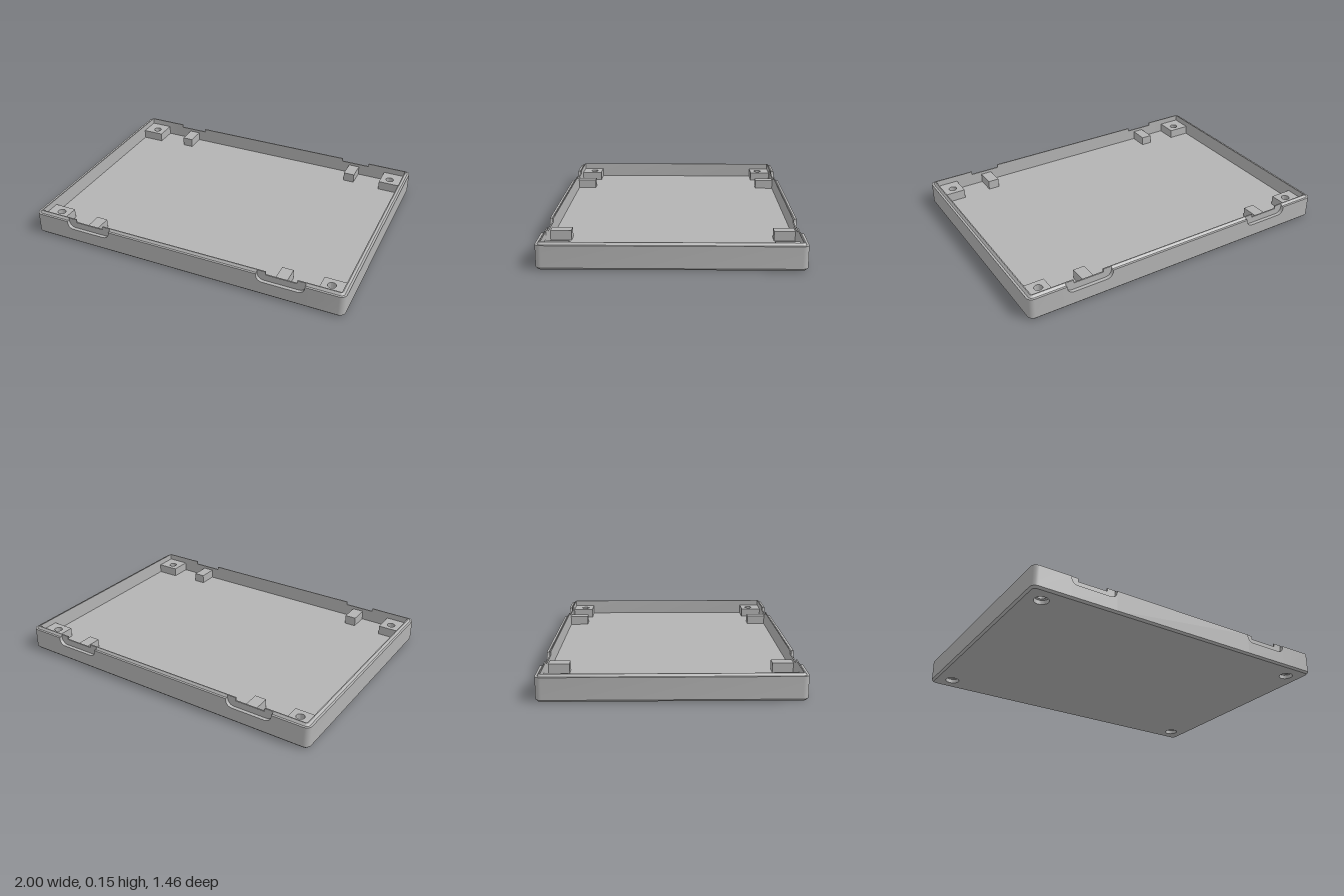
import * as THREE from 'three';
import { toCreasedNormals } from 'three/addons/utils/BufferGeometryUtils.js';

const W = 1, D = 0.73, T = 0.03, H = 0.15, R = 0.035;   // half width, half depth, wall, height, corner radius
const FLOOR = 0.055, BLOCK = 0.112, LEDGE = 0.09, NOTCH = 0.13, SKIN = 0.022;
const REC = [0.48, 0.77];                               // x span of each rim recess

// Sweep a closed profile of [inset, y] points along stations [x, z, normalX, normalZ]
function sweep(profile, stations) {
  const pos = [];
  const put = (s, p) => pos.push(s[0] - s[2] * p[0], p[1], s[1] - s[3] * p[0]);
  const n = profile.length;
  for (let i = 0; i + 1 < stations.length; i++) {
    const a = stations[i], b = stations[i + 1];
    for (let j = 0; j < n; j++) {
      const p = profile[j], q = profile[(j + 1) % n];
      put(a, p); put(b, p); put(b, q);
      put(a, p); put(b, q); put(a, q);
    }
  }
  const first = stations[0], last = stations[stations.length - 1];
  const tris = THREE.ShapeUtils.triangulateShape(profile.map(p => new THREE.Vector2(...p)), []);
  for (const [i, j, k] of tris) {
    put(last, profile[i]); put(last, profile[j]); put(last, profile[k]);
    put(first, profile[k]); put(first, profile[j]); put(first, profile[i]);
  }
  const g = new THREE.BufferGeometry();
  g.setAttribute('position', new THREE.Float32BufferAttribute(pos, 3));
  return toCreasedNormals(g, 0.5);
}

// Horizontal rectangle with round holes, raised from y0 to y1
function slab(x0, x1, z0, z1, y0, y1, holes, r) {
  const s = new THREE.Shape();
  s.moveTo(x0, -z1).lineTo(x1, -z1).lineTo(x1, -z0).lineTo(x0, -z0).closePath();
  for (const [x, z] of holes) {
    const h = new THREE.Path();
    h.absarc(x, -z, r, 0, Math.PI * 2, true);
    s.holes.push(h);
  }
  const g = new THREE.ExtrudeGeometry(s, { depth: y1 - y0, bevelEnabled: false, curveSegments: 24 });
  g.rotateX(-Math.PI / 2).translate(0, y0, 0);
  return toCreasedNormals(g, 0.5);
}

export function createModel() {
  const model = new THREE.Group();
  model.name = 'tray';
  const grey = new THREE.MeshStandardMaterial({ color: 0xb3b3b3 });
  grey.name = 'grey plastic';
  const add = (name, geometry, parent = model) => {
    const m = new THREE.Mesh(geometry, grey);
    m.name = name;
    parent.add(m);
    return m;
  };
  const box = (name, x0, x1, y0, y1, z0, z1, parent) =>
    add(name, new THREE.BoxGeometry(x1 - x0, y1 - y0, z1 - z0)
      .translate((x0 + x1) / 2, (y0 + y1) / 2, (z0 + z1) / 2), parent);

  // Floor with counterbored screw holes
  const screws = [[1, 1], [1, -1], [-1, 1], [-1, -1]].map(([a, b]) => [a * 0.89, b * 0.62]);
  add('floorUnderside', slab(-W + T, W - T, -D + T, D - T, 0, 0.025, screws, 0.042));
  add('floor', slab(-W + T, W - T, -D + T, D - T, 0.025, FLOOR, screws, 0.025));

  // Corner screw blocks
  for (const [x, z] of screws) {
    const xs = [Math.sign(x) * 0.83, Math.sign(x) * (W - T)].sort((a, b) => a - b);
    const zs = [Math.sign(z) * 0.565, Math.sign(z) * (D - T)].sort((a, b) => a - b);
    add('screwBlock', slab(...xs, ...zs, FLOOR, BLOCK, [[x, z]], 0.025));
  }

  // Wall profiles: full height with stepped lip, and lowered at the recesses
  const wall = [[0.012, 0], [0, 0.012], [0, 0.137], [0.013, 0.137], [0.024, H], [T, H], [T, 0]];
  const low = [[0.012, 0], [0, 0.012], [0, LEDGE], [SKIN, LEDGE], [SKIN, NOTCH], [T, NOTCH], [T, 0]];

  // End wall path, wrapping both rounded corners
  const endPath = [[REC[1], D, 0, 1]];
  for (const s of [1, -1]) {
    for (let i = 0; i <= 6; i++) {
      const a = s > 0 ? Math.PI / 2 * (1 - i / 6) : -Math.PI / 2 * i / 6;
      const nx = Math.cos(a), nz = Math.sin(a);
      endPath.push([W - R + R * nx, s * (D - R) + R * nz, nx, nz]);
    }
  }
  endPath.push([REC[1], -D, 0, -1]);

  // Each half holds one end wall and one long wall; the second is turned half round
  for (const turn of [0, Math.PI]) {
    const half = new THREE.Group();
    half.name = turn ? 'backHalf' : 'frontHalf';
    half.rotation.y = turn;
    model.add(half);
    add('endWall', sweep(wall, endPath), half);
    add('longWall', sweep(wall, [[-REC[0], D, 0, 1], [REC[0], D, 0, 1]]), half);

    for (const [x0, x1] of [REC, [-REC[1], -REC[0]]]) {
      add('recessWall', sweep(low, [[x0, D, 0, 1], [x1, D, 0, 1]]), half);
      for (const [x, s] of [[x0, 1], [x1, -1]]) {
        // Tab beside the notch
        const e = x + s * 0.052;
        box('notchTab', Math.min(x, e), Math.max(x, e), NOTCH, H, D - T, D - SKIN, half);
        // Rounded lower corner of the recess
        const r = 0.04, f = new THREE.Shape();
        f.moveTo(x, LEDGE).lineTo(x + s * r, LEDGE);
        for (let i = 1; i <= 6; i++) {
          const a = Math.PI / 2 * i / 6;
          f.lineTo(x + s * r * (1 - Math.sin(a)), LEDGE + r * (1 - Math.cos(a)));
        }
        f.closePath();
        const g = new THREE.ExtrudeGeometry(f, { depth: SKIN, bevelEnabled: false });
        add('recessCorner', toCreasedNormals(g.translate(0, 0, D - SKIN), 0.5), half);
      }
      // Support block behind the notch
      const c = Math.sign(x0) * 0.617;
      box('supportBlock', c - 0.035, c + 0.035, FLOOR, BLOCK, 0.58, D - T, half);
    }
  }
  return model;
}
